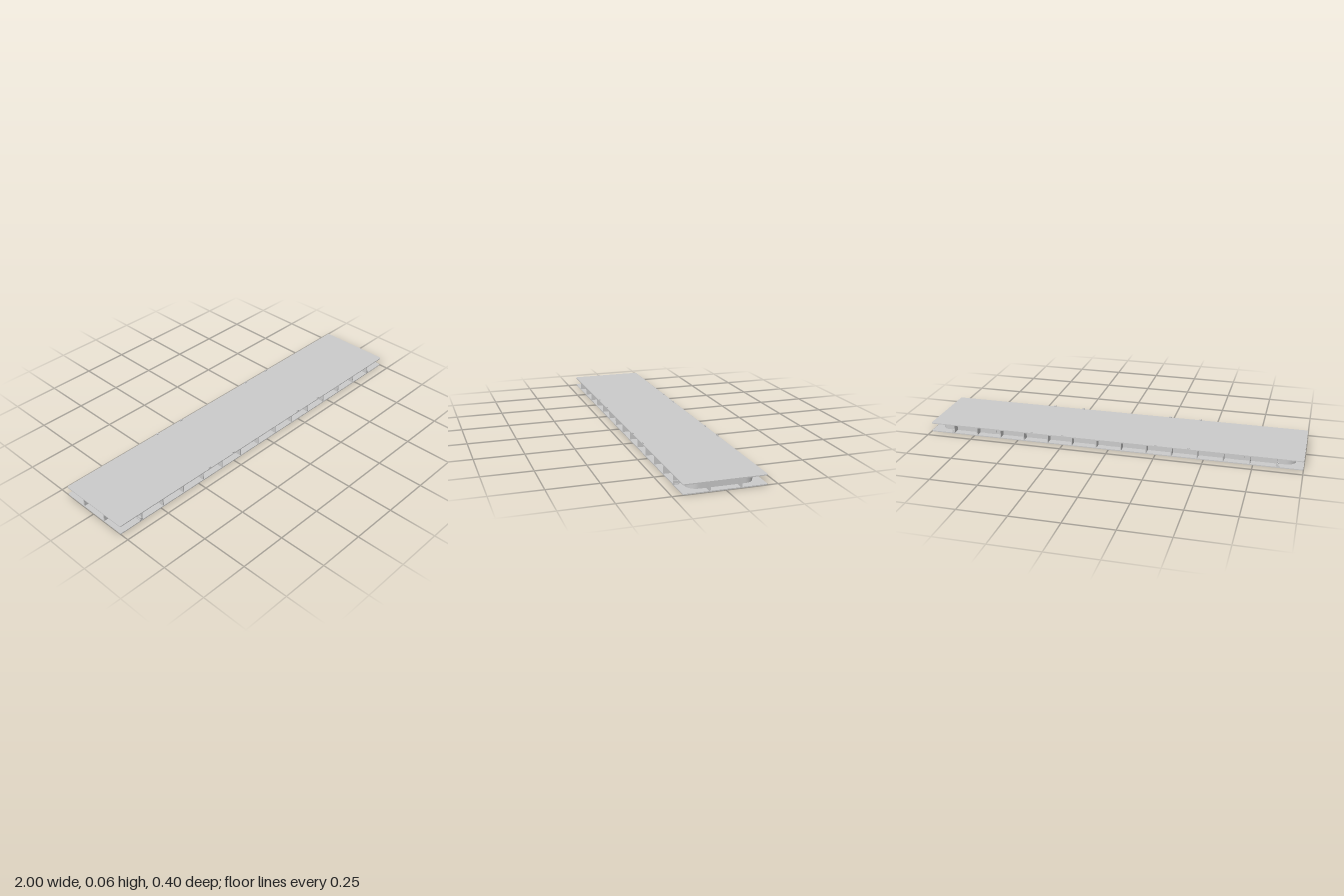
import * as THREE from 'three';

const material = new THREE.MeshStandardMaterial({ color: 0xcccccc, flatShading: true });
const H = 0.05, T = 0.005, HALF_X = 1, HALF_Z = 0.2, FLANGE = 0.04;

// Rounded rectangle in plan
function roundedRect(path, hx, hz, r) {
  path.moveTo(hx, -hz + r);
  path.lineTo(hx, hz - r);
  path.absarc(hx - r, hz - r, r, 0, Math.PI / 2);
  path.lineTo(-hx + r, hz);
  path.absarc(-hx + r, hz - r, r, Math.PI / 2, Math.PI);
  path.lineTo(-hx, -hz + r);
  path.absarc(-hx + r, -hz + r, r, Math.PI, Math.PI * 1.5);
  path.lineTo(hx - r, -hz);
  path.absarc(hx - r, -hz + r, r, Math.PI * 1.5, Math.PI * 2);
  return path;
}

// Horizontal slab, optionally hollow, lying between y and y + height
function slab(name, shape, y, height) {
  const geometry = new THREE.ExtrudeGeometry(shape, { depth: height, bevelEnabled: false, curveSegments: 8 });
  geometry.rotateX(-Math.PI / 2);
  const mesh = new THREE.Mesh(geometry, material);
  mesh.name = name;
  mesh.position.y = y;
  return mesh;
}

function box(name, w, h, d, x, y, z) {
  const mesh = new THREE.Mesh(new THREE.BoxGeometry(w, h, d), material);
  mesh.name = name;
  mesh.position.set(x, y, z);
  return mesh;
}

// Arched pocket plate standing on the bottom flange
function pocketGeometry(w, h, depth, r) {
  const s = new THREE.Shape();
  s.moveTo(-w / 2, 0);
  s.lineTo(w / 2, 0);
  s.lineTo(w / 2, h - r);
  s.absarc(w / 2 - r, h - r, r, 0, Math.PI / 2);
  s.lineTo(-w / 2 + r, h);
  s.absarc(-w / 2 + r, h - r, r, Math.PI / 2, Math.PI);
  const g = new THREE.ExtrudeGeometry(s, { depth, bevelEnabled: false, curveSegments: 5 });
  g.translate(0, 0, -depth / 2);
  return g;
}

export function createModel() {
  const model = new THREE.Group();
  model.name = 'platform';

  // Solid deck on an open, recessed frame
  const outer = () => roundedRect(new THREE.Shape(), HALF_X, HALF_Z, 0.008);
  const webX = HALF_X - FLANGE, webZ = HALF_Z - FLANGE;
  const inner = () => roundedRect(new THREE.Path(), webX - T, webZ - T, 0.045);
  model.add(slab('deck', outer(), H - T, T));

  const bottom = outer();
  bottom.holes.push(inner());
  model.add(slab('bottomFlange', bottom, 0, T));

  const web = roundedRect(new THREE.Shape(), webX, webZ, 0.05);
  web.holes.push(inner());
  model.add(slab('web', web, T, H - 2 * T));

  // Stiffeners, pockets and pegs along both long sides
  const ribH = H - 2 * T, ribY = H / 2;
  const pocket = pocketGeometry(0.07, 0.028, T + 0.006, 0.007);
  for (const side of [1, -1]) {
    const ribZ = side * (HALF_Z - FLANGE / 2 - 0.001);
    for (let i = 0; i < 14; i++) {
      const x = -0.867 + i * 0.1334;
      model.add(box('sideRib', 0.006, ribH, FLANGE - 0.002, x, ribY, ribZ));
    }
    for (const x of [-0.67, 0, 0.67]) {
      const plate = new THREE.Mesh(pocket, material);
      plate.name = 'pocketPlate';
      plate.position.set(x, T, side * (webZ - T / 2));
      model.add(plate);
    }
    for (const x of [-0.42, -0.25, 0.25, 0.42]) {
      model.add(box('topPeg', 0.012, 0.006, 0.006, x, H + 0.003, side * 0.196));
    }
    // Small stepped bracket beside each outermost rib
    for (const end of [1, -1]) {
      model.add(box('bracket', 0.008, 0.015, 0.028, end * 0.873, 0.0125, side * 0.185));
      model.add(box('bracketStep', 0.006, 0.005, 0.024, end * 0.879, 0.0075, side * 0.187));
    }
  }

  // Stiffeners at the two short ends
  for (const end of [1, -1]) {
    for (const z of [-0.075, 0.075]) {
      model.add(box('endRib', FLANGE - 0.002, ribH, 0.008, end * (HALF_X - FLANGE / 2 - 0.001), ribY, z));
    }
  }
  return model;
}
